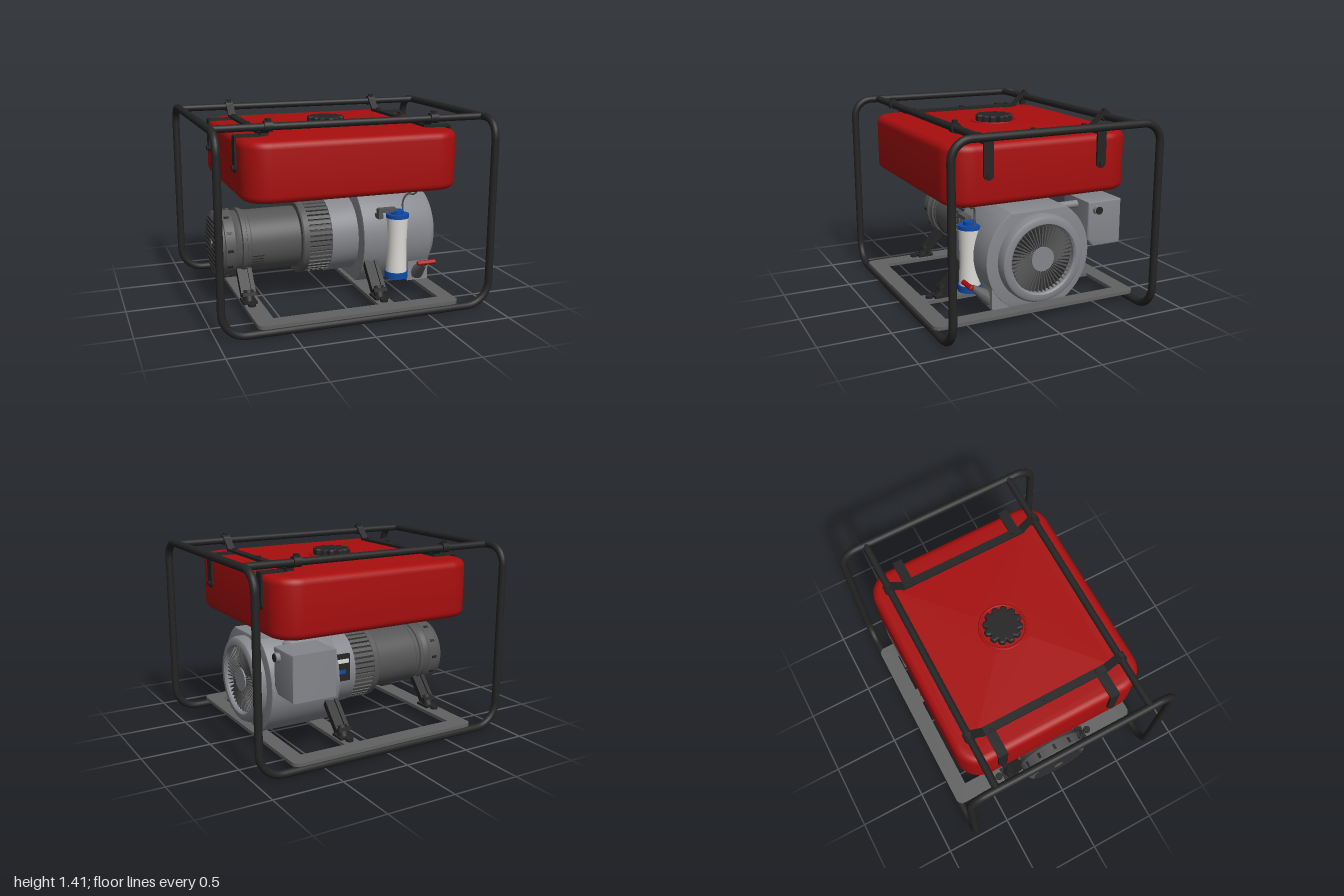
import * as THREE from 'three';
import { toCreasedNormals } from 'three/addons/utils/BufferGeometryUtils.js';
import { RoundedBoxGeometry } from 'three/addons/geometries/RoundedBoxGeometry.js';

const mat = (name, color) => Object.assign(new THREE.MeshStandardMaterial({ color }), { name });
const V = (x, y, z) => new THREE.Vector3(x, y, z);
const AXIS_Y = 0.445; // height of the engine shaft

export function createModel() {
  const black = mat('black', 0x242424), red = mat('red', 0xa80e0e), steel = mat('dark grey', 0x555555);
  const base = mat('base grey', 0x626262), alloy = mat('light grey', 0x84868b);
  const white = mat('white', 0xdcdad6), blue = mat('blue', 0x0d4ba8);
  const root = new THREE.Group();
  root.name = 'generator';

  const add = (name, geo, m, x = 0, y = 0, z = 0) => {
    const mesh = new THREE.Mesh(geo, m);
    mesh.name = name;
    mesh.position.set(x, y, z);
    root.add(mesh);
    return mesh;
  };
  const box = (name, m, w, h, d, x, y, z) => add(name, new THREE.BoxGeometry(w, h, d), m, x, y, z);
  const rod = (name, m, a, b, r, r2 = r, sides = 24) => {
    const mesh = add(name, new THREE.CylinderGeometry(r2, r, a.distanceTo(b), sides), m);
    mesh.position.copy(a).lerp(b, 0.5);
    mesh.quaternion.setFromUnitVectors(V(0, 1, 0), b.clone().sub(a).normalize());
    return mesh;
  };
  // flat bar lying in a plane of constant x
  const bar = (name, m, x, a, b, w, t) => {
    const [ya, za] = a, [yb, zb] = b;
    const mesh = box(name, m, w, t, Math.hypot(yb - ya, zb - za), x, (ya + yb) / 2, (za + zb) / 2);
    mesh.rotation.x = -Math.atan2(yb - ya, zb - za);
    return mesh;
  };
  // turned part around the engine shaft, points are [x, radius]
  const turned = (name, m, pts) => {
    const g = new THREE.LatheGeometry(pts.map(([x, r]) => new THREE.Vector2(r, x)), 64);
    g.rotateZ(-Math.PI / 2);
    return add(name, toCreasedNormals(g, 0.6), m, 0, AXIS_Y, 0);
  };
  const roundRect = (w, d, r, S = THREE.Shape) => {
    const s = new S();
    s.absarc(w - r, d - r, r, 0, Math.PI / 2);
    s.absarc(r - w, d - r, r, Math.PI / 2, Math.PI);
    s.absarc(r - w, r - d, r, Math.PI, Math.PI * 1.5);
    s.absarc(w - r, r - d, r, Math.PI * 1.5, Math.PI * 2);
    s.closePath();
    return s;
  };

  // Tubular frame: one closed loop with rounded bends, plus two top rails
  const corners = [[-1, 0, 1], [1, 0, 1], [1, 1, 1], [1, 1, -1], [1, 0, -1], [-1, 0, -1], [-1, 1, -1], [-1, 1, 1]]
    .map(([x, y, z]) => V(x * 0.972, y ? 1.357 : 0.028, z * 0.757));
  const loop = new THREE.CurvePath();
  const ends = corners.map((c, i) => {
    const toward = (p, d) => c.clone().add(p.clone().sub(c).setLength(d));
    const prev = corners[(i + 7) % 8], next = corners[(i + 1) % 8], r = c.y > 1 ? 0.13 : 0.17;
    return [toward(prev, r), toward(prev, r * 0.45), toward(next, r * 0.45), toward(next, r)];
  });
  ends.forEach((e, i) => {
    loop.add(new THREE.CubicBezierCurve3(...e));
    loop.add(new THREE.LineCurve3(e[3], ends[(i + 1) % 8][0]));
  });
  add('frameTube', new THREE.TubeGeometry(loop, 400, 0.027, 16, true), black);
  for (const s of [-1, 1]) rod('topRail', black, V(-0.972, 1.357, s * 0.565), V(0.972, 1.357, s * 0.565), 0.025);

  // Base plate with openings
  const plate = roundRect(0.73, 0.78, 0.05);
  for (const [x0, x1] of [[-0.6, 0.16], [0.28, 0.62]]) {
    const hole = new THREE.Path();
    hole.moveTo(x0, -0.66).lineTo(x0, 0.66).lineTo(x1, 0.66).lineTo(x1, -0.66).closePath();
    plate.holes.push(hole);
  }
  const plateGeo = new THREE.ExtrudeGeometry(plate, { depth: 0.025, bevelEnabled: false });
  add('basePlate', plateGeo.rotateX(-Math.PI / 2), base, 0, 0.06, 0);

  // Fuel tank, its shallow crown, filler ring and cap
  const tank = new THREE.ExtrudeGeometry(roundRect(0.725, 0.635, 0.13), {
    depth: 0.31, bevelSize: 0.05, bevelThickness: 0.05, bevelSegments: 6, curveSegments: 10 });
  add('fuelTank', toCreasedNormals(tank.rotateX(-Math.PI / 2), 0.6), red, 0, 0.915, 0);
  const crown = new THREE.CylinderGeometry(0.2, 0.84, 0.01, 4).rotateY(Math.PI / 4).scale(1.08, 1, 0.95);
  add('tankCrown', crown.toNonIndexed(), red, 0, 1.279, 0).geometry.computeVertexNormals();
  add('fillerRing', new THREE.TorusGeometry(0.16, 0.01, 8, 40).rotateX(Math.PI / 2), red, 0, 1.283, 0);
  const capShape = new THREE.Shape();
  for (let i = 0; i < 96; i++) {
    const t = i / 96 * Math.PI * 2, r = 0.112 + 0.012 * Math.tanh(3 * Math.cos(12 * t));
    capShape[i ? 'lineTo' : 'moveTo'](r * Math.cos(t), r * Math.sin(t));
  }
  const cap = new THREE.ExtrudeGeometry(capShape, { depth: 0.03, bevelSize: 0.012, bevelThickness: 0.012, bevelSegments: 3 });
  add('fuelCap', cap.rotateX(-Math.PI / 2), black, 0, 1.29, 0);
  box('tankOutlet', red, 0.2, 0.02, 0.2, 0.56, 0.858, 0.47);

  // Tank straps over the rails and down the sides
  for (const s of [-1, 1]) {
    const x = s * 0.59;
    box('topStrap', black, 0.055, 0.02, 0.96, x, 1.295, 0);
    for (const k of [-1, 1]) {
      bar('strapRise', black, x, [1.295, k * 0.46], [1.392, k * 0.56], 0.055, 0.016);
      rod('railClamp', black, V(x - 0.028, 1.36, k * 0.565), V(x + 0.028, 1.36, k * 0.565), 0.036);
      rod('clampBolt', black, V(x, 1.38, k * 0.565), V(x, 1.41, k * 0.565), 0.02, 0.02, 6);
      rod('strapBolt', black, V(x, 1.3, k * 0.4), V(x, 1.318, k * 0.4), 0.018, 0.018, 6);
      const z = k * 0.42;
      box('sideStrapTop', black, 0.19, 0.014, 0.07, s * 0.69, 1.283, z);
      box('sideStrap', black, 0.014, 0.21, 0.07, s * 0.782, 1.181, z);
      rod('strapEnd', black, V(s * 0.775, 1.076, z), V(s * 0.789, 1.076, z), 0.035);
      rod('strapEndBolt', black, V(s * 0.78, 1.073, z), V(s * 0.803, 1.073, z), 0.02, 0.02, 6);
    }
    rod('strapBolt', black, V(x, 1.3, 0), V(x, 1.318, 0), 0.018, 0.018, 6);
  }

  // Alternator: end cap, flange, body
  turned('alternatorEndCap', steel, [[-0.87, 0], [-0.87, 0.21], [-0.855, 0.235], [-0.82, 0.238], [-0.815, 0.247],
    [-0.745, 0.247], [-0.73, 0.232], [-0.695, 0.225], [-0.69, 0.243], [-0.66, 0.243], [-0.655, 0.23], [-0.63, 0.23],
    [-0.625, 0.225], [-0.25, 0.225]]);
  for (let i = -5; i <= 5; i++) {
    const y = i * 0.035;
    box('endVent', black, 0.006, 0.012, 2 * Math.sqrt(0.2 ** 2 - y * y), -0.871, AXIS_Y + y, 0);
  }
  rod('endHub', steel, V(-0.88, AXIS_Y, 0), V(-0.86, AXIS_Y, 0), 0.035);
  for (let i = 0; i < 12; i++) {
    const t = i * Math.PI / 6;
    const slot = box('rimSlot', black, 0.04, 0.008, 0.02, -0.785, AXIS_Y + 0.245 * Math.cos(t), 0.245 * Math.sin(t));
    slot.rotation.x = t;
  }
  for (let i = 0; i < 7; i++) box('ventSlat', black, 0.085, 0.006, 0.01, -0.58, 0.25 + i * 0.022,
    Math.sqrt(0.225 ** 2 - (0.195 - i * 0.022) ** 2));

  // Finned ring and crankcase drum
  turned('finCore', black, [[-0.24, 0.2], [-0.24, 0.258], [-0.03, 0.258]]);
  turned('finFlange', steel, [[-0.26, 0.2], [-0.26, 0.27], [-0.25, 0.278], [-0.21, 0.278], [-0.205, 0.255]]);
  for (let i = 0; i < 44; i++) {
    const t = i / 44 * Math.PI * 2, r = 0.263;
    const fin = box('coolingFin', steel, 0.2, 0.024, 0.024, -0.135, AXIS_Y + r * Math.cos(t), r * Math.sin(t));
    fin.rotation.x = t;
  }
  turned('crankcaseDrum', alloy, [[-0.04, 0.2], [-0.04, 0.282], [0.17, 0.282]]);
  box('controlPanel', black, 0.13, 0.2, 0.02, 0.08, 0.5, -0.279);
  box('panelStripe', white, 0.11, 0.03, 0.008, 0.08, 0.55, -0.291);
  box('panelSwitch', blue, 0.06, 0.03, 0.008, 0.08, 0.47, -0.291);

  // Engine housing: round with flats on top and bottom
  const R = 0.387, a = Math.asin(0.327 / R), housing = new THREE.Shape();
  housing.absarc(0, 0, R, -a, a);
  housing.absarc(0, 0, R, Math.PI - a, Math.PI + a);
  housing.closePath();
  const housingGeo = new THREE.ExtrudeGeometry(housing, { depth: 0.52, bevelSize: 0.007, bevelThickness: 0.007,
    bevelSegments: 2, curveSegments: 32 });
  add('engineHousing', toCreasedNormals(housingGeo.rotateY(Math.PI / 2), 0.5), alloy, 0.167, AXIS_Y, 0);

  // Fan cover with radial grille
  turned('fanCover', alloy, [[0.68, 0.31], [0.735, 0.31], [0.76, 0.298], [0.77, 0.28], [0.77, 0.25], [0.758, 0.238], [0.7, 0.238]]);
  rod('fanRecess', black, V(0.69, AXIS_Y, 0), V(0.71, AXIS_Y, 0), 0.24, 0.24, 64);
  for (let i = 0; i < 48; i++) {
    const t = i / 48 * Math.PI * 2, r = 0.16;
    const blade = box('grilleBlade', steel, 0.03, 0.16, 0.008, 0.73, AXIS_Y + r * Math.cos(t), r * Math.sin(t));
    blade.rotation.x = t;
  }
  rod('fanHub', alloy, V(0.7, AXIS_Y, 0), V(0.755, AXIS_Y, 0), 0.085, 0.085, 40);

  // Air cleaner box behind the engine
  const cleaner = new THREE.Shape();
  [[0.41, 0.765], [0.66, 0.765], [0.66, 0.46], [0.45, 0.46], [0.41, 0.51]].forEach(([x, y], i) =>
    cleaner[i ? 'lineTo' : 'moveTo'](x, y));
  const cleanerGeo = new THREE.ExtrudeGeometry(cleaner, { depth: 0.31, bevelSize: 0.01, bevelThickness: 0.01, bevelSegments: 3 });
  add('airCleaner', toCreasedNormals(cleanerGeo.rotateY(Math.PI / 2), 0.6), alloy, 0.36, 0, 0);
  rod('intakePipe', alloy, V(0.52, 0.73, -0.2), V(0.52, 0.73, -0.42), 0.027);
  rod('cleanerPort', alloy, V(0.67, 0.717, -0.47), V(0.71, 0.717, -0.47), 0.033);
  rod('cleanerPortHole', black, V(0.7, 0.717, -0.47), V(0.714, 0.717, -0.47), 0.028);
  rod('drainPipe', alloy, V(0.5, 0.47, -0.36), V(0.5, 0.48, -0.44), 0.015);

  // Engine mounts: the inner pair of feet stands wider than the alternator pair
  for (const [x, zf, zt, top] of [[0.22, 0.53, 0.36, 0.3], [-0.68, 0.31, 0.17, 0.28]]) {
    for (const s of [-1, 1]) {
      rod('footBolt', black, V(x, 0.08, s * (zf + 0.09)), V(x, 0.105, s * (zf + 0.09)), 0.028);
      box('footPlate', black, 0.1, 0.016, 0.12, x, 0.093, s * zf);
      rod('rubberMount', black, V(x, 0.09, s * (zf + 0.012)), V(x, 0.165, s * (zf - 0.02)), 0.038);
      bar('mountBracket', black, x, [0.15, s * (zf + 0.03)], [0.13, s * (zf - 0.04)], 0.1, 0.025);
      for (const k of [-1, 1]) bar('mountStrut', black, x + k * 0.038, [0.13, s * (zf - 0.01)], [top, s * zt], 0.03, 0.045);
      bar('mountWeb', black, x, [0.13, s * (zf - 0.01)], [top, s * zt], 0.08, 0.02);
    }
  }

  // Fuel filter with hose and bracket
  const fx = 0.415, fz = 0.39;
  const filter = [[0.078, 0.21], [0.074, 0.3], [0.07, 0.42], [0.074, 0.54], [0.078, 0.63]].map(p => new THREE.Vector2(...p));
  add('filterBody', new THREE.LatheGeometry(filter, 32), white, fx, 0, fz);
  rod('filterBase', blue, V(fx, 0.175, fz), V(fx, 0.222, fz), 0.085, 0.085, 32);
  rod('filterTop', blue, V(fx, 0.625, fz), V(fx, 0.652, fz), 0.083, 0.083, 32);
  rod('filterKnob', blue, V(fx, 0.65, fz), V(fx, 0.678, fz), 0.045);
  box('filterBracket', steel, 0.13, 0.03, 0.05, 0.33, 0.685, fz);
  box('filterBracketTab', steel, 0.03, 0.07, 0.05, 0.275, 0.662, fz);
  box('filterBracketArm', steel, 0.04, 0.03, 0.2, 0.28, 0.64, 0.3);
  const hose = new THREE.CatmullRomCurve3([V(0.465, 0.65, 0.375), V(0.465, 0.74, 0.375), V(0.49, 0.79, 0.39),
    V(0.53, 0.8, 0.43), V(0.55, 0.855, 0.45)]);
  add('fuelHose', new THREE.TubeGeometry(hose, 32, 0.007, 8), steel);

  // Oil filler with red handle
  box('oilSump', alloy, 0.165, 0.15, 0.16, 0.607, 0.19, 0.27);
  rod('oilNeck', base, V(0.607, 0.17, 0.33), V(0.607, 0.27, 0.46), 0.055, 0.02);
  rod('oilStem', steel, V(0.607, 0.26, 0.45), V(0.607, 0.288, 0.485), 0.015);
  add('oilHandle', new RoundedBoxGeometry(0.15, 0.028, 0.035, 3, 0.012), red, 0.607, 0.292, 0.495).rotation.x = 0.8;
  return root;
}
